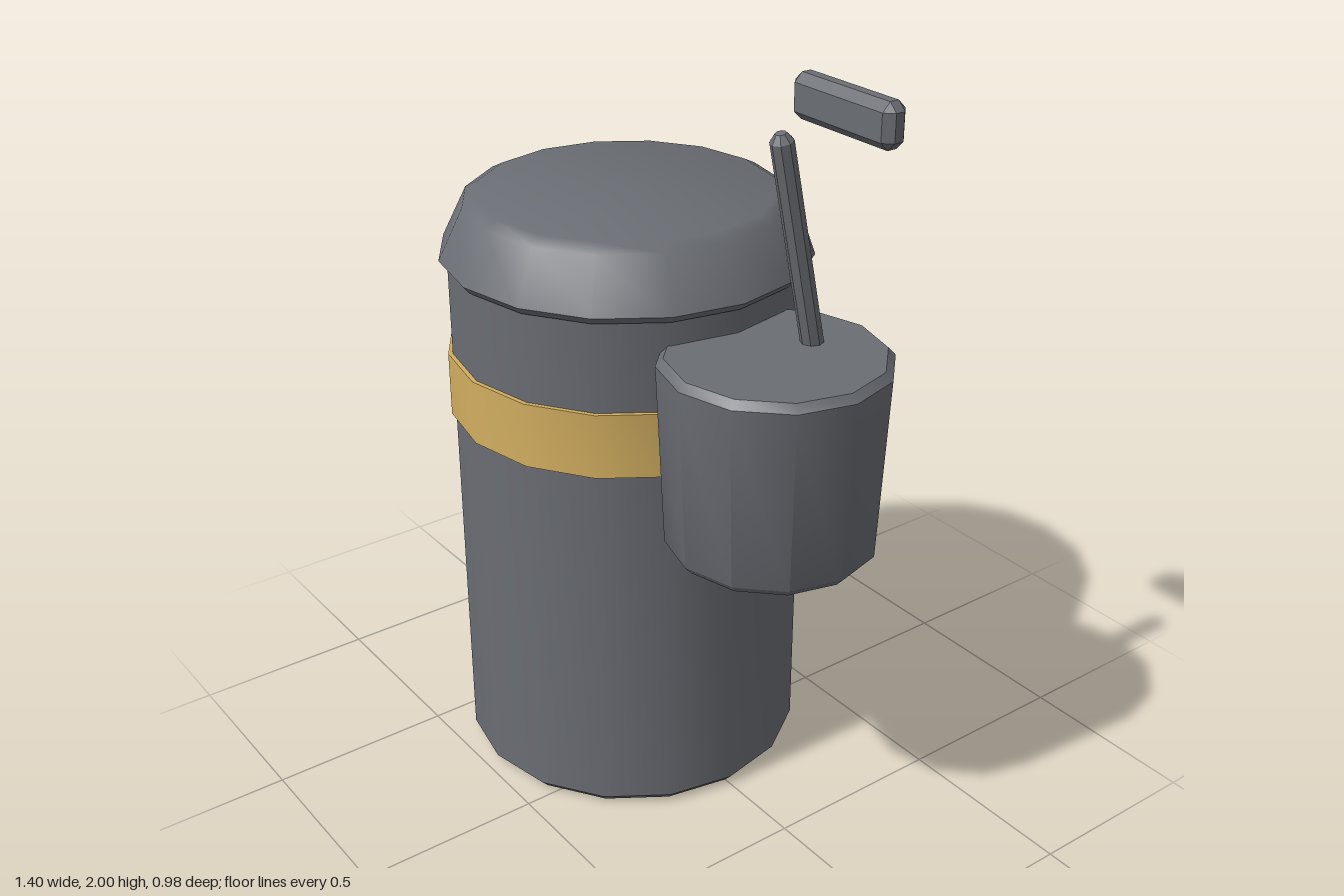
import * as THREE from 'three';
import { toCreasedNormals } from 'three/addons/utils/BufferGeometryUtils.js';
import { ConvexGeometry } from 'three/addons/geometries/ConvexGeometry.js';

const grey = new THREE.MeshStandardMaterial({ name: 'dark grey', color: 0x6a6d73 });
const gold = new THREE.MeshStandardMaterial({ name: 'gold', color: 0xd2ae60 });

// Faceted turned part from a bottom-to-top [radius, height] profile
function turned(name, profile, sides, material, crease = 40) {
  const points = profile.map(([r, y]) => new THREE.Vector2(r, y));
  const geometry = new THREE.LatheGeometry(points, sides);
  const mesh = new THREE.Mesh(toCreasedNormals(geometry, THREE.MathUtils.degToRad(crease)), material);
  mesh.name = name;
  return mesh;
}

// Box with every edge chamfered by c
function chamferedBox(w, h, d, c) {
  const half = [w / 2, h / 2, d / 2];
  const points = [];
  for (let axis = 0; axis < 3; axis++)
    for (const sx of [-1, 1]) for (const sy of [-1, 1]) for (const sz of [-1, 1]) {
      const p = half.map((v, i) => (i === axis ? v : v - c));
      points.push(new THREE.Vector3(sx * p[0], sy * p[1], sz * p[2]));
    }
  return new ConvexGeometry(points);
}

export function createModel() {
  const model = new THREE.Group();
  model.name = 'canisterWithCup';

  // Tall canister with lid and band
  const canister = new THREE.Group();
  canister.name = 'canister';
  canister.position.x = -0.208;
  canister.add(
    turned('body', [[0, 0], [0.448, 0], [0.47, 0.024], [0.47, 1.46], [0, 1.46]], 16, grey),
    turned('lid', [[0, 1.446], [0.476, 1.446], [0.492, 1.466], [0.425, 1.602], [0.39, 1.62], [0, 1.62]], 16, grey),
    turned('band', [[0.465, 1.03], [0.482, 1.03], [0.482, 1.205], [0.465, 1.205]], 16, gold)
  );

  // Side cup, tapering downwards
  const cup = turned('cup',
    [[0, 0.858], [0.25, 0.858], [0.27, 0.88], [0.291, 1.362], [0.272, 1.382], [0, 1.382]], 12, grey);
  cup.position.x = 0.408;

  // Leaning stick with a chamfered tip
  const stick = turned('stick', [[0, 0], [0.029, 0], [0.029, 0.63], [0.014, 0.65], [0, 0.65]], 8, grey, 20);
  stick.position.set(0.408, 1.29, -0.131);
  stick.rotation.x = 0.213;

  // Floating crossbar
  const crossbar = new THREE.Mesh(chamferedBox(0.345, 0.114, 0.07, 0.022), grey);
  crossbar.name = 'crossbar';
  crossbar.position.set(0.408, 1.943, -0.194);

  model.add(canister, cup, stick, crossbar);
  return model;
}
